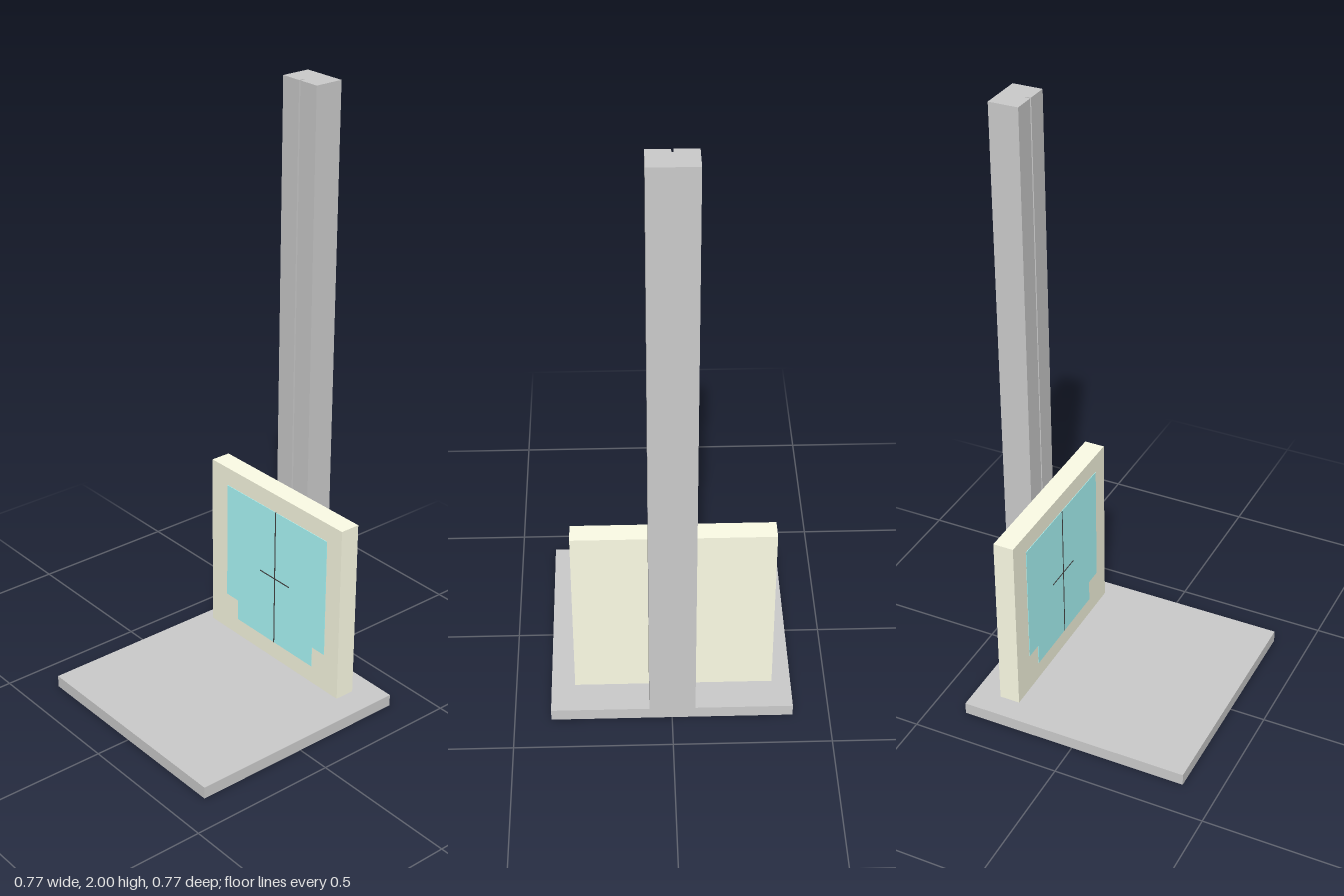
import * as THREE from 'three';

const mat = (color) => new THREE.MeshStandardMaterial({ color, flatShading: true });

export function createModel() {
  const model = new THREE.Group();
  const grey = mat(0xcccccc);
  const ivory = mat(0xfdfde6);
  const cyan = mat(0xaeffff);
  const dark = mat(0x444444);

  const add = (name, geometry, material) => {
    const mesh = new THREE.Mesh(geometry, material);
    mesh.name = name;
    model.add(mesh);
    return mesh;
  };
  // Box given by its limits on each axis
  const box = (name, material, [x0, x1], [y0, y1], [z0, z1]) =>
    add(name, new THREE.BoxGeometry(x1 - x0, y1 - y0, z1 - z0), material)
      .position.set((x0 + x1) / 2, (y0 + y1) / 2, (z0 + z1) / 2);

  // Square floor plate
  box('basePlate', grey, [-0.384, 0.384], [0, 0.04], [-0.384, 0.384]);

  // Column with a narrow round-bottomed groove down its front (shape y = -z)
  const r = 0.003, cx = -0.001, front = 0.288, back = 0.384;
  const section = new THREE.Shape();
  section.moveTo(-0.074, front);
  section.lineTo(cx - r, front);
  section.lineTo(cx - r, 0.302);
  section.absarc(cx, 0.302, r, Math.PI, 0, true);
  section.lineTo(cx + r, front);
  section.lineTo(0.072, front);
  section.lineTo(0.072, back);
  section.lineTo(-0.074, back);
  section.closePath();
  const column = new THREE.ExtrudeGeometry(section, { depth: 1.96, bevelEnabled: false, curveSegments: 8 });
  column.rotateX(-Math.PI / 2).translate(0, 0.04, 0);
  add('column', column, grey);

  // Upright panel in front of the column
  box('panel', ivory, [-0.322, 0.308], [0.056, 0.668], [-0.288, -0.22]);

  // Stepped marked area on the panel face
  const area = new THREE.Shape([
    [-0.243, 0.605], [-0.243, 0.19], [-0.185, 0.19], [-0.185, 0.117],
    [0.185, 0.117], [0.185, 0.19], [0.243, 0.19], [0.243, 0.605],
  ].map(([x, y]) => new THREE.Vector2(x, y)));
  add('markedArea', new THREE.ExtrudeGeometry(area, { depth: 0.0015, bevelEnabled: false }), cyan)
    .position.z = -0.22;

  // Centring cross
  box('verticalMark', dark, [-0.002, 0.002], [0.117, 0.605], [-0.22, -0.2175]);
  box('horizontalMark', dark, [-0.073, 0.071], [0.358, 0.362], [-0.22, -0.2175]);

  return model;
}
